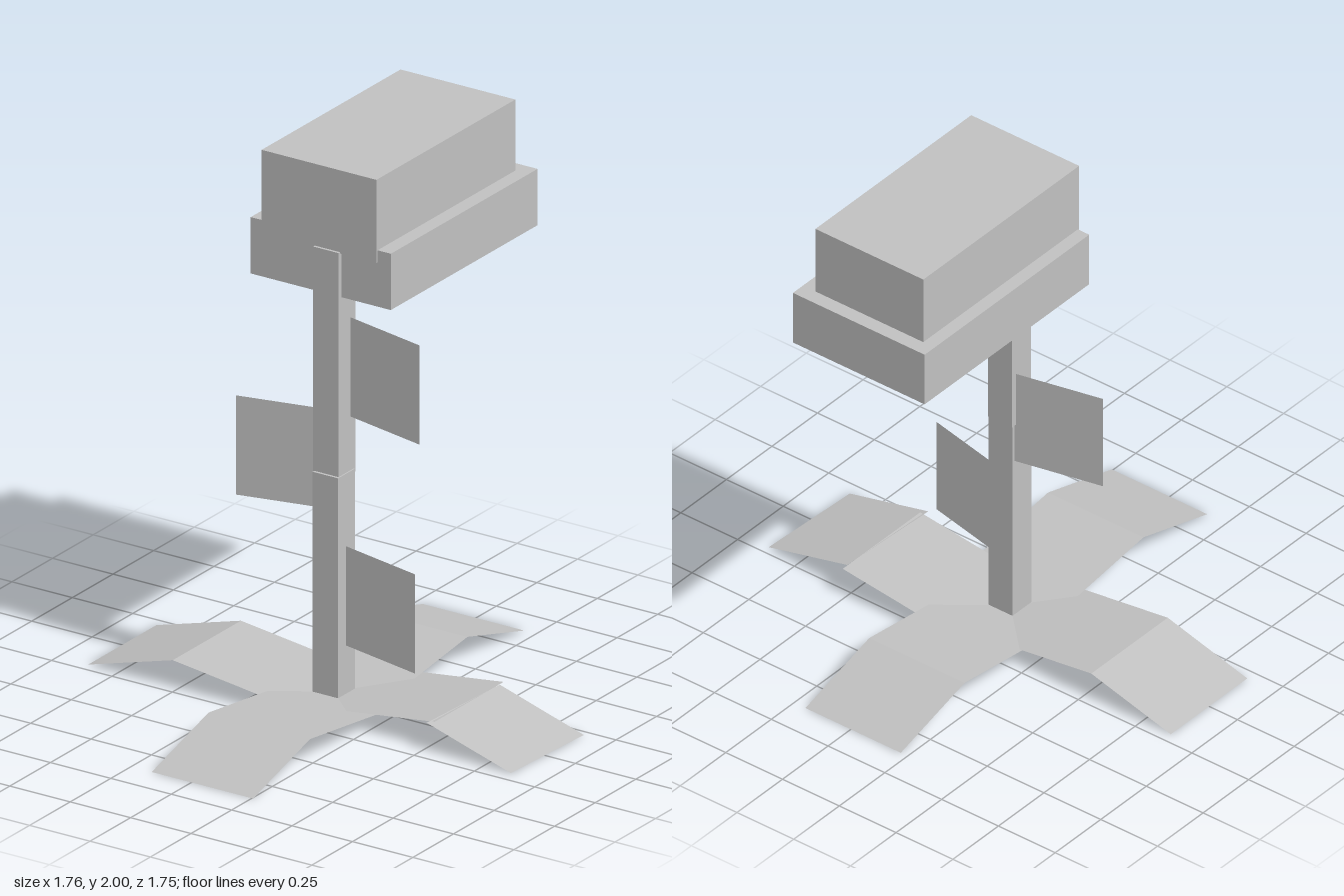
import * as THREE from 'three';

export function createModel() {
  const model = new THREE.Group();
  const grey = new THREE.MeshStandardMaterial({ color: 0xc0c0c0, side: THREE.DoubleSide });
  grey.name = 'plain grey';

  function add(name, geometry) {
    const mesh = new THREE.Mesh(geometry, grey);
    mesh.name = name;
    model.add(mesh);
    return mesh;
  }

  // Box given by its low and high corners
  function box(name, [x0, y0, z0], [x1, y1, z1]) {
    const mesh = add(name, new THREE.BoxGeometry(x1 - x0, y1 - y0, z1 - z0));
    mesh.position.set((x0 + x1) / 2, (y0 + y1) / 2, (z0 + z1) / 2);
  }

  // Flat four-cornered sheet, corners counter-clockwise
  function sheet(name, a, b, c, d) {
    const g = new THREE.BufferGeometry();
    g.setAttribute('position', new THREE.Float32BufferAttribute([a, b, c, a, c, d].flat(), 3));
    g.computeVertexNormals();
    return add(name, g);
  }

  // Two-part stem
  box('lowerStem', [-0.05, 0.015, -0.05], [0.055, 0.86, 0.055]);
  box('upperStem', [-0.055, 0.845, -0.06], [0.05, 1.695, 0.045]);

  // Stepped flower head, hanging towards the back
  box('headBase', [-0.325, 1.525, -0.875], [0.255, 1.735, 0.028]);
  box('headTop', [-0.275, 1.69, -0.82], [0.2, 2, 0.035]);

  // Upright stem leaves: inner and outer x, bottom y, inner and outer z
  const stemLeaves = [
    [0.05, 0.39, 0.22, 0.005, 0.08],
    [-0.045, -0.38, 0.69, -0.04, 0.035],
    [0.045, 0.385, 1.06, -0.03, 0.045],
  ];
  for (const [xi, xo, y, zi, zo] of stemLeaves) {
    const h = 0.37;
    const inner = [[xi, y, zi], [xi, y + h, zi]], outer = [[xo, y, zo], [xo, y + h, zo]];
    const [l, r] = xi < xo ? [inner, outer] : [outer, inner];
    sheet('stemLeaf', l[0], r[0], r[1], l[1]);
  }

  // Ground leaves: each rises from the stem to a fold, then drops to the ground.
  // Built along +z, then turned; from and to are the side edges in x.
  const groundLeaves = [
    { turn: 0, from: -0.165, to: 0.255, twist: 0 },
    { turn: Math.PI / 2, from: -0.16, to: 0.265, twist: 0.048 },
    { turn: Math.PI, from: -0.2, to: 0.22, twist: 0 },
    { turn: -Math.PI / 2, from: -0.21, to: 0.21, twist: 0 },
  ];
  for (const { turn, from, to, twist } of groundLeaves) {
    const strip = (name, [y0, z0], [y1, z1], a, b) =>
      sheet(name, [a, y0, z0], [a, y1, z1], [b, y1, z1], [b, y0, z0]);
    strip('leafBase', [0.018, -0.12], [0.1, 0.525], from, to).rotation.y = turn;
    if (twist) {
      // Loose tip, turned slightly at the fold
      const tip = strip('leafTip', [0.1, 0], [0.003, 0.36], -0.21, 0.21);
      tip.rotation.y = turn - twist;
      tip.position.set(0.517, 0, -0.028);
    } else {
      strip('leafTip', [0.1, 0.525], [0.001, 0.875], from, to).rotation.y = turn;
    }
  }
  return model;
}
